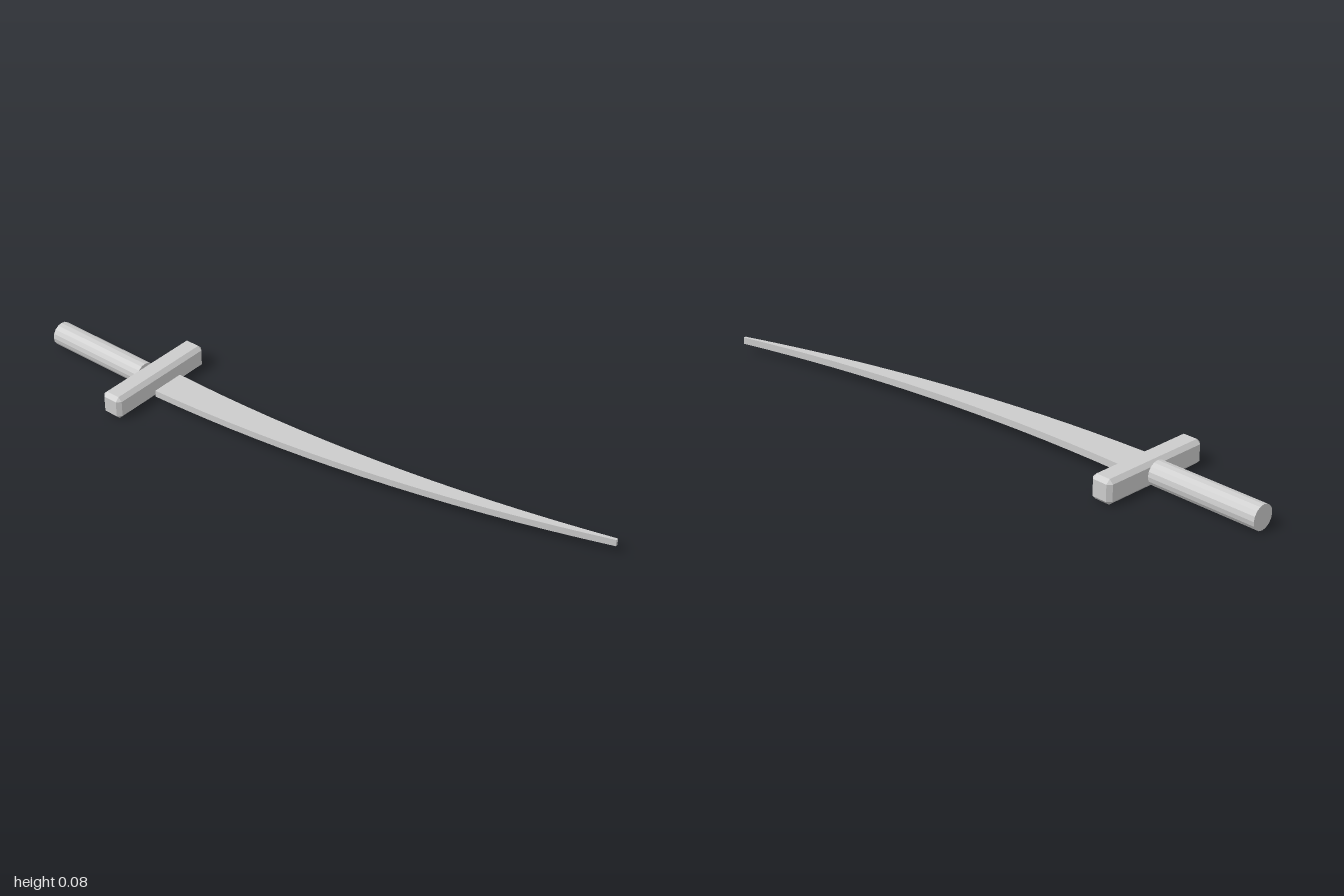
import * as THREE from 'three';
import { ConvexGeometry } from 'three/addons/geometries/ConvexGeometry.js';

const material = new THREE.MeshStandardMaterial({ color: 0xcccccc, flatShading: true });
const AXIS_X = -0.0225, AXIS_Y = 0.04; // line shared by grip and guard

// Box with every edge cut at 45 degrees
function chamferBox(w, h, d, c) {
  const points = [];
  for (const x of [-w / 2, w / 2])
    for (const y of [-h / 2, h / 2])
      for (const z of [-d / 2, d / 2])
        for (let full = 0; full < 3; full++) {
          // one coordinate stays on the face, the other two move in
          points.push(new THREE.Vector3(...[x, y, z].map((v, i) => (i === full ? v : v - Math.sign(v) * c))));
        }
  return new ConvexGeometry(points);
}

export function createModel() {
  const group = new THREE.Group();
  const add = (name, geometry, x, y, z) => {
    const mesh = new THREE.Mesh(geometry, material);
    mesh.name = name;
    mesh.position.set(x, y, z);
    group.add(mesh);
  };

  // Round grip along z
  add('grip', new THREE.CylinderGeometry(0.04, 0.04, 0.38, 16).rotateX(Math.PI / 2), AXIS_X, AXIS_Y, -0.81);

  // Chamfered crossguard
  add('guard', chamferBox(0.4, 0.08, 0.076, 0.013), AXIS_X, AXIS_Y, -0.582);

  // Curved blade: plan outline drawn in x and z, extruded upward
  const outline = new THREE.Shape();
  outline.moveTo(-0.082, -0.52);
  outline.quadraticCurveTo(-0.05, 0.25, 0.213, 1);
  outline.lineTo(0.222, 1);
  outline.quadraticCurveTo(0.023, 0.25, 0.034, -0.52);
  outline.closePath();
  const blade = new THREE.ExtrudeGeometry(outline, { depth: 0.023, bevelEnabled: false, curveSegments: 16 });
  blade.rotateX(Math.PI / 2); // shape y becomes z, depth runs down
  add('blade', blade, 0, 0.052, 0);

  return group;
}
